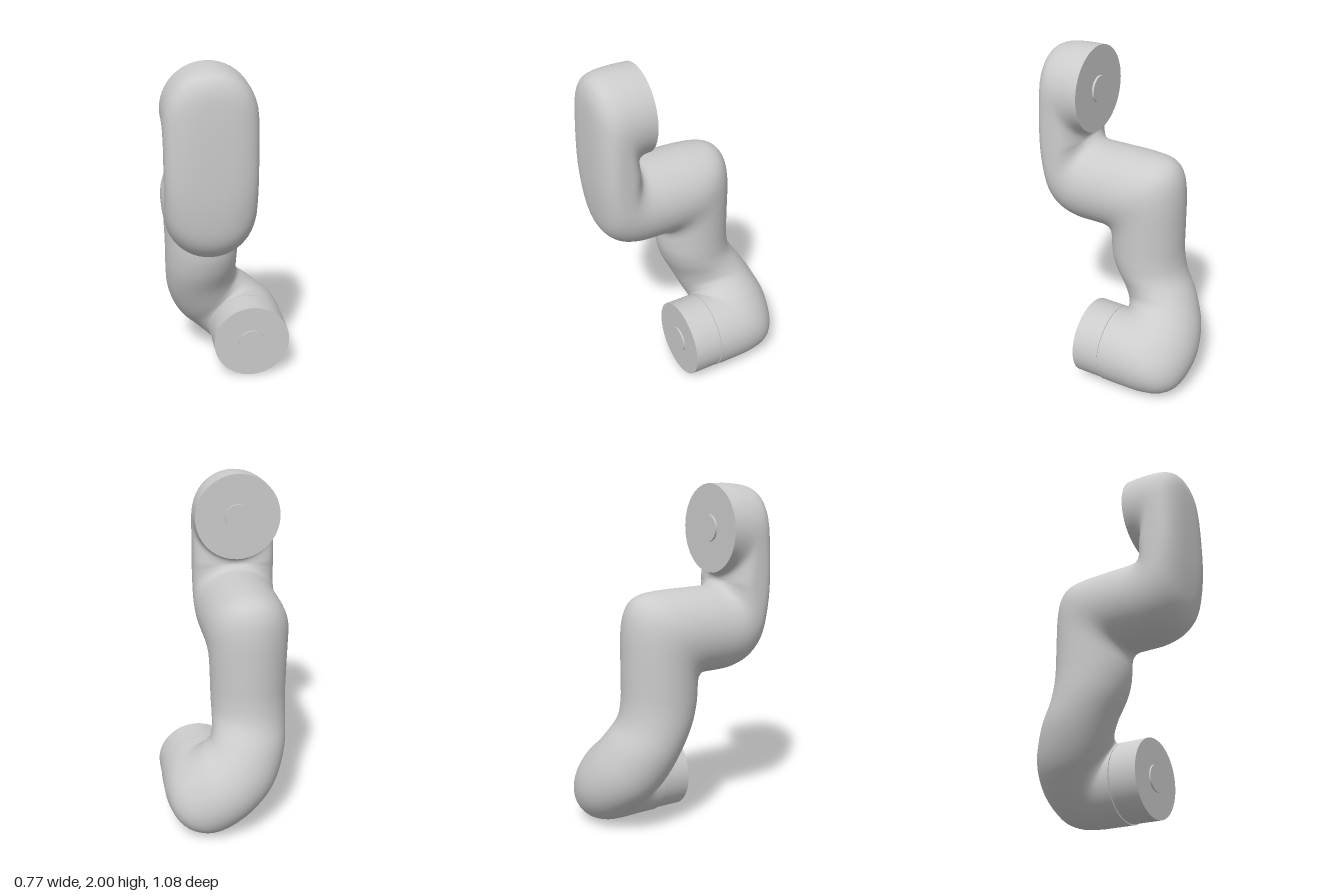
import * as THREE from 'three';

const SIDES = 48, STEPS = 4;
const CX = -0.13; // centre line of the upper pipe

export function createModel() {
  const group = new THREE.Group();
  const mat = new THREE.MeshStandardMaterial({ color: 0xcccccc });
  const add = (name, geo, x, y, z) => {
    const m = new THREE.Mesh(geo, mat);
    m.name = name;
    m.position.set(x, y, z);
    group.add(m);
    return m;
  };

  // Cross-sections in the yz plane: [y, z] on one side, [y, z] on the other, half width, squareness
  const upper = [
    [2.0, 0.225, 1.495, 0.225, 0.253, 2],
    [2.0, 0.34, 1.492, 0.248, 0.253, 2],
    [1.98, 0.46, 1.482, 0.266, 0.253, 2.05],
    [1.92, 0.515, 1.47, 0.276, 0.252, 2.2],
    [1.78, 0.535, 1.46, 0.28, 0.25, 2.6],
    [1.45, 0.54, 1.45, 0.28, 0.25, 3],
    [1.22, 0.53, 1.44, 0.274, 0.25, 2.6],
    [1.06, 0.5, 1.43, 0.26, 0.25, 2.2],
    [0.965, 0.42, 1.422, 0.24, 0.25, 2.05],
    [0.925, 0.31, 1.42, 0.2, 0.25, 2],
    [0.92, 0.2, 1.419, 0.08, 0.25, 2],
    [0.918, 0.14, 1.415, -0.1, 0.248, 2],
    [0.905, 0.118, 1.395, -0.23, 0.243, 2],
    [0.885, 0.11, 1.33, -0.3, 0.235, 2],
    [0.86, 0.108, 1.2, -0.33, 0.227, 2],
    [0.82, 0.108, 0.95, -0.333, 0.222, 2],
    [0.75, 0.1, 0.79, -0.335, 0.22, 2],
  ].map(([ay, az, by, bz, h, n]) => [[CX, ay, az], [CX, by, bz], [h, 0, n]]);

  // Lower elbow: both side points in 3D, then half width, roll in degrees, squareness
  const lower = [
    [[-0.13, 0.65, 0.07], [-0.13, 0.67, -0.36], [0.22, 6, 2]],
    [[-0.115, 0.53, 0.01], [-0.12, 0.55, -0.43], [0.224, 18, 2]],
    [[-0.07, 0.44, -0.035], [-0.07, 0.4, -0.5], [0.23, 36, 2]],
    [[-0.035, 0.41, -0.054], [0.06, 0.26, -0.535], [0.234, 44, 2]],
    [[-0.024, 0.4, -0.057], [0.205, 0.14, -0.5], [0.235, 47, 2]],
    [[-0.02, 0.395, -0.056], [0.285, 0.09, -0.42], [0.235, 47, 2]],
    [[-0.02, 0.395, -0.054], [0.316, 0.076, -0.3], [0.235, 47, 2]],
    [[-0.02, 0.395, -0.05], [0.322, 0.075, -0.18], [0.235, 47, 2]],
    [[-0.02, 0.395, -0.045], [0.322, 0.075, -0.045], [0.235, 47, 2]],
  ];

  // Bent pipe lofted through the cross-sections
  const rings = [...upper, ...lower];
  const [sideA, sideB, shape] = [0, 1, 2].map(k => new THREE.CatmullRomCurve3(
    rings.map(r => new THREE.Vector3(...r[k])), false, 'catmullrom', 0.5));
  const count = (rings.length - 1) * STEPS;
  const pos = [], idx = [];
  const power = (v, n) => Math.sign(v) * Math.abs(v) ** (2 / n);
  for (let i = 0; i <= count; i++) {
    const a = sideA.getPoint(i / count), b = sideB.getPoint(i / count), s = shape.getPoint(i / count);
    const mid = a.clone().add(b).multiplyScalar(0.5);
    const half = a.clone().sub(b).multiplyScalar(0.5);
    const roll = THREE.MathUtils.degToRad(s.y);
    const wide = new THREE.Vector3(Math.cos(roll), Math.sin(roll), 0).multiplyScalar(s.x);
    for (let j = 0; j < SIDES; j++) {
      const t = j / SIDES * Math.PI * 2;
      const p = mid.clone()
        .addScaledVector(wide, power(Math.cos(t), s.z))
        .addScaledVector(half, power(Math.sin(t), s.z));
      pos.push(p.x, p.y, p.z);
      if (i < count) {
        const k = (j + 1) % SIDES, q = i * SIDES, r = q + SIDES;
        idx.push(q + j, q + k, r + k, q + j, r + k, r + j);
      }
    }
  }
  const pipe = new THREE.BufferGeometry();
  pipe.setAttribute('position', new THREE.Float32BufferAttribute(pos, 3));
  pipe.setIndex(idx);
  pipe.computeVertexNormals();
  add('bentPipe', pipe, 0, 0, 0);

  // Flat faces closing the pipe
  add('upperEndFace', new THREE.CircleGeometry(0.253, SIDES), CX, 1.7475, 0.225).rotation.y = Math.PI;
  add('lowerEndFace', new THREE.CircleGeometry(0.235, SIDES), 0.151, 0.235, -0.045);

  // Round parts lying along z
  const disc = (name, r, x, y, z0, z1) => {
    const geo = new THREE.CylinderGeometry(r, r, z1 - z0, SIDES).rotateX(Math.PI / 2);
    add(name, geo, x, y, (z0 + z1) / 2);
  };
  disc('upperStud', 0.077, CX, 1.75, 0.212, 0.24);
  disc('endCollar', 0.232, 0.151, 0.238, -0.042, 0.127);
  disc('lowerStud', 0.078, 0.151, 0.238, 0.12, 0.137);
  return group;
}
